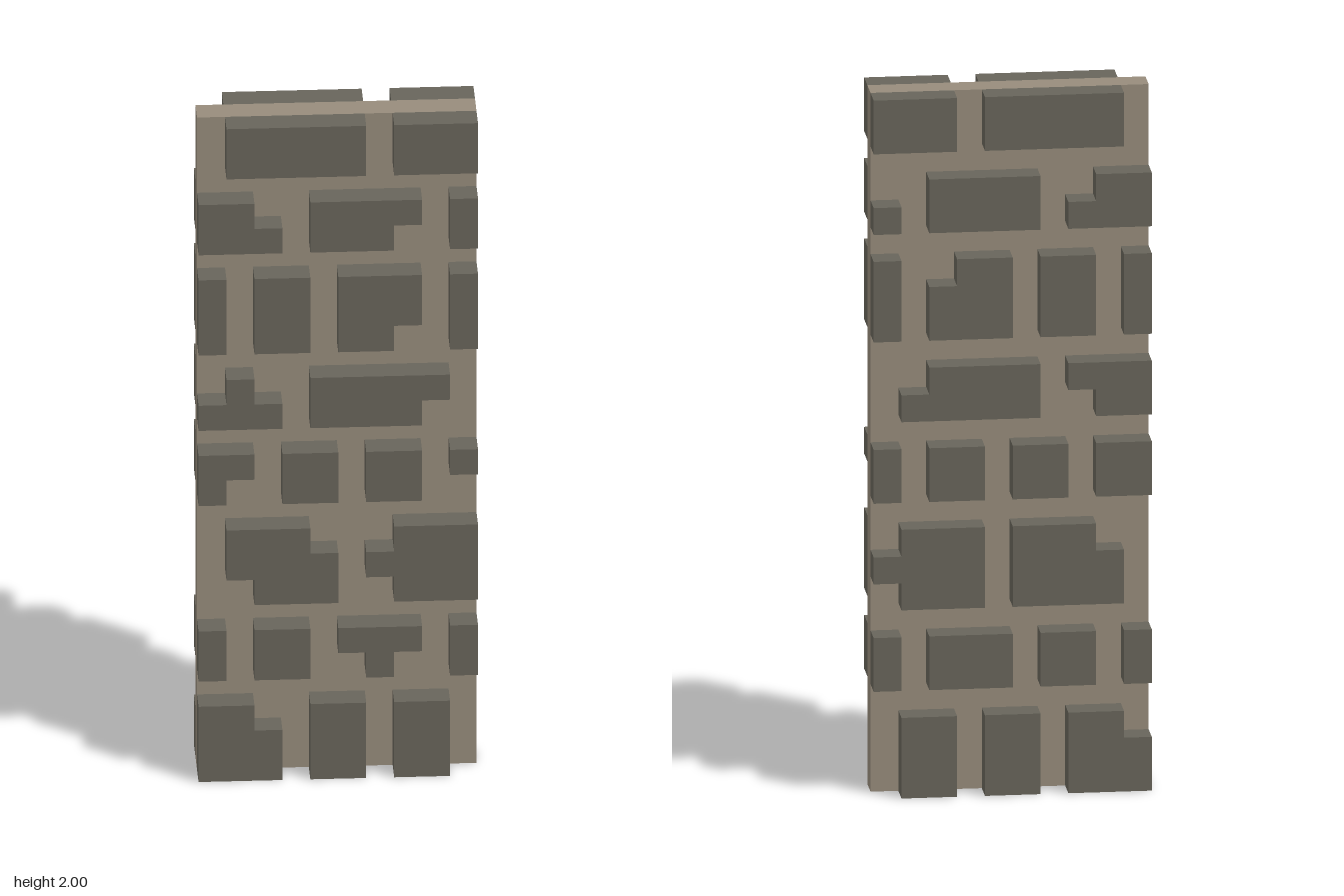
import * as THREE from 'three';

// One grid cell: the wall is 10 cells wide, 26 tall and 3 deep
const U = 2 / 26;

const mortar = new THREE.MeshStandardMaterial({ name: 'mortar', color: 0x978c7c });
const stone = new THREE.MeshStandardMaterial({ name: 'stone', color: 0x68655b });

// Stones in cells from the lower left corner: [x0, y0, x1, y1] is a plain block,
// longer lists are the x, y corners of a notched block
const shared = [
  [1, 24, 6, 26], [7, 24, 10, 26],
  [0, 21, 3, 21, 3, 22, 2, 22, 2, 23, 0, 23],
  [0, 17, 1, 20], [2, 17, 4, 20], [9, 17, 10, 20],
  [3, 11, 5, 13], [6, 11, 8, 13],
  [0, 4, 1, 6], [2, 4, 4, 6], [9, 4, 10, 6],
  [4, 0, 6, 3], [7, 0, 9, 3],
];
const front = [
  [4, 21, 7, 21, 7, 22, 8, 22, 8, 23, 4, 23], [9, 21, 10, 23],
  [5, 17, 7, 17, 7, 18, 8, 18, 8, 20, 5, 20],
  [0, 14, 3, 14, 3, 15, 2, 15, 2, 16, 1, 16, 1, 15, 0, 15],
  [4, 14, 8, 14, 8, 15, 9, 15, 9, 16, 4, 16],
  [0, 11, 1, 11, 1, 12, 2, 12, 2, 13, 0, 13], [9, 12, 10, 13],
  [2, 7, 5, 7, 5, 9, 4, 9, 4, 10, 1, 10, 1, 8, 2, 8],
  [7, 7, 10, 7, 10, 10, 7, 10, 7, 9, 6, 9, 6, 8, 7, 8],
  [6, 4, 7, 4, 7, 5, 8, 5, 8, 6, 5, 6, 5, 5, 6, 5],
  [0, 0, 3, 0, 3, 2, 2, 2, 2, 3, 0, 3],
];
const back = [
  [4, 21, 8, 23], [9, 21, 10, 22],
  [5, 17, 8, 17, 8, 19, 7, 19, 7, 20, 5, 20],
  [0, 14, 2, 14, 2, 15, 3, 15, 3, 16, 0, 16],
  [4, 14, 9, 14, 9, 15, 8, 15, 8, 16, 4, 16],
  [0, 11, 2, 13], [9, 11, 10, 13],
  [1, 7, 5, 7, 5, 10, 2, 10, 2, 9, 1, 9],
  [6, 7, 9, 7, 9, 8, 10, 8, 10, 9, 9, 9, 9, 10, 6, 10],
  [5, 4, 8, 6],
  [0, 0, 3, 0, 3, 3, 1, 3, 1, 2, 0, 2],
];

function outline(s) {
  if (s.length === 4) {
    const [x0, y0, x1, y1] = s;
    s = [x0, y0, x1, y0, x1, y1, x0, y1];
  }
  const points = [];
  for (let i = 0; i < s.length; i += 2) {
    points.push(new THREE.Vector2((s[i] - 5) * U, s[i + 1] * U));
  }
  return new THREE.Shape(points);
}

// One face of the wall: every block stands one cell out from the mortar
function stoneFace(name, list, z) {
  const group = new THREE.Group();
  group.name = name;
  for (const s of list) {
    const geometry = new THREE.ExtrudeGeometry(outline(s), { depth: U, bevelEnabled: false });
    const mesh = new THREE.Mesh(geometry, stone);
    mesh.name = 'stoneBlock';
    mesh.position.z = z;
    group.add(mesh);
  }
  return group;
}

export function createModel() {
  const wall = new THREE.Group();
  wall.name = 'stoneWall';

  // Mortar slab in the middle
  const slab = new THREE.Mesh(new THREE.BoxGeometry(10 * U, 26 * U, U), mortar);
  slab.name = 'mortarSlab';
  slab.position.y = 13 * U;
  wall.add(slab);

  wall.add(stoneFace('frontStones', [...shared, ...front], 0.5 * U));
  wall.add(stoneFace('backStones', [...shared, ...back], -1.5 * U));
  return wall;
}
